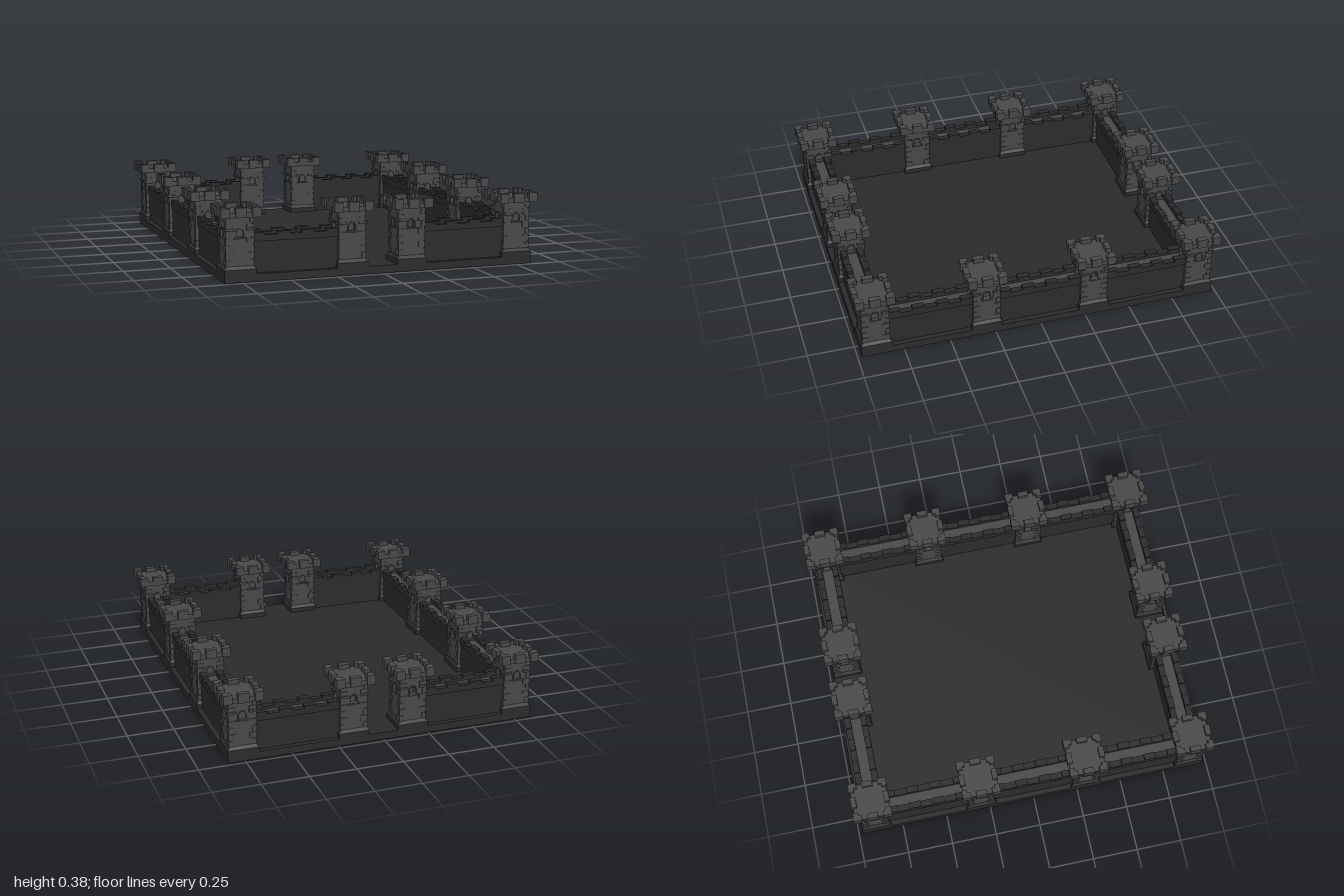
import * as THREE from 'three';

const dark = new THREE.MeshStandardMaterial({ color: 0x2b2b2b, flatShading: true });
const stone = new THREE.MeshStandardMaterial({ color: 0x484848, flatShading: true });

function add(parent, name, geometry, material, x = 0, y = 0, z = 0) {
  const mesh = new THREE.Mesh(geometry, material);
  mesh.name = name;
  mesh.position.set(x, y, z);
  parent.add(mesh);
  return mesh;
}

// Box given by its bottom and top heights
function block(parent, name, material, w, d, y0, y1, x = 0, z = 0) {
  return add(parent, name, new THREE.BoxGeometry(w, y1 - y0, d), material, x, (y0 + y1) / 2, z);
}

// Arched outline, used for the window openings and their frames
function arch(path, half, bottom, spring) {
  path.moveTo(-half, bottom);
  path.lineTo(half, bottom);
  path.lineTo(half, spring);
  path.absarc(0, spring, half, 0, Math.PI, false);
  path.lineTo(-half, bottom);
  return path;
}

const FOOT = 0.08, TOP = 0.335, BODY = 0.07;

// One side of the hollow tower, with an arched window facing +z
function towerSide(open) {
  const side = new THREE.Group();
  side.name = 'towerSide';
  const wall = new THREE.Shape();
  wall.moveTo(-BODY, FOOT);
  wall.lineTo(BODY, FOOT);
  wall.lineTo(BODY, TOP);
  wall.lineTo(-BODY, TOP);
  wall.holes.push(arch(new THREE.Path(), 0.019, 0.228, 0.25));
  const solid = { depth: 0.02, bevelEnabled: false, curveSegments: 8 };
  add(side, 'towerWall', new THREE.ExtrudeGeometry(wall, solid), stone, 0, 0, BODY - 0.02);

  const frame = arch(new THREE.Shape(), 0.025, 0.228, 0.25);
  frame.holes.push(arch(new THREE.Path(), 0.019, 0.228, 0.25));
  add(side, 'windowFrame', new THREE.ExtrudeGeometry(frame, { ...solid, depth: 0.005 }), stone, 0, 0, BODY);
  block(side, 'windowSill', stone, 0.06, 0.012, 0.22, 0.228, 0, BODY + 0.004);
  if (!open) block(side, 'blindWindow', stone, 0.05, 0.008, 0.222, 0.272, 0, BODY - 0.012);

  // Short string course either side of the window
  for (const s of [-1, 1]) {
    block(side, 'stringCourse', stone, 0.04, 0.013, 0.262, 0.274, s * 0.053, BODY + 0.004);
  }
  return side;
}

function tower(openSides) {
  const group = new THREE.Group();
  group.name = 'tower';

  // Plinth with a sloped shoulder
  block(group, 'plinth', dark, 0.166, 0.166, 0.03, 0.066);
  const shoulder = new THREE.CylinderGeometry(BODY * Math.SQRT2, 0.083 * Math.SQRT2, 0.016, 4);
  shoulder.rotateY(Math.PI / 4);
  add(group, 'plinthShoulder', shoulder, dark, 0, 0.074, 0);

  for (let i = 0; i < 4; i++) {
    const side = towerSide(openSides.includes(i));
    side.rotation.y = i * Math.PI / 2;
    group.add(side);
  }

  // Alternating corner stones
  const rows = 7, step = (TOP - FOOT) / rows, out = BODY + 0.004;
  for (let r = 0; r < rows; r++) {
    const w = r % 2 ? 0.038 : 0.022, d = r % 2 ? 0.022 : 0.038;
    for (const sx of [-1, 1]) for (const sz of [-1, 1]) {
      block(group, 'cornerStone', stone, w, d, FOOT + r * step + 0.003, FOOT + (r + 1) * step - 0.003,
        sx * (out - w / 2), sz * (out - d / 2));
    }
  }

  // Crown: platform with projecting merlons
  block(group, 'crownPlatform', stone, 0.195, 0.195, 0.33, 0.355);
  for (const sx of [-1, 0, 1]) for (const sz of [-1, 0, 1]) {
    if (!sx && !sz) continue;
    const w = sx ? (sz ? 0.046 : 0.03) : 0.058;
    const d = sz ? (sx ? 0.046 : 0.03) : 0.058;
    // Corner merlons are L-shaped
    if (sx && sz) {
      block(group, 'crownMerlon', stone, w, 0.03, 0.33, 0.38, sx * (0.105 - w / 2), sz * 0.09);
      block(group, 'crownMerlon', stone, 0.03, d - 0.03, 0.33, 0.38, sx * 0.09, sz * (0.075 - (d - 0.03) / 2));
    } else {
      block(group, 'crownMerlon', stone, w, d, 0.33, 0.38, sx * 0.09, sz * 0.09);
    }
  }
  return group;
}

// Curtain wall running along x, with a walkway between two parapets
function curtainWall(length) {
  const group = new THREE.Group();
  group.name = 'curtainWall';
  block(group, 'wallBody', dark, length, 0.11, 0.03, 0.212);
  block(group, 'walkway', stone, length, 0.056, 0.212, 0.216);
  for (const s of [-1, 1]) {
    block(group, 'parapet', dark, length, 0.034, 0.2, 0.232, 0, s * 0.045);
    const unit = 0.455 / 7;
    for (let i = 0; i < 4; i++) {
      block(group, 'wallMerlon', dark, unit, 0.034, 0.232, 0.246, (i - 1.5) * unit * 2, s * 0.045);
    }
  }
  return group;
}

export function createModel() {
  const model = new THREE.Group();
  model.name = 'fortress';
  block(model, 'baseSlab', dark, 1.68, 1.956, 0, 0.04);

  const X = 0.757, GATE = 0.163, Z = 0.895, MID = 0.298;
  const place = (part, x, z, turn = 0) => {
    part.position.set(x, 0, z);
    part.rotation.y = turn;
    model.add(part);
  };

  for (const sx of [-1, 1]) {
    for (const sz of [-1, 1]) {
      place(tower([]), sx * X, sz * Z);
      // Gate towers, open outward
      place(tower([sz > 0 ? 0 : 2]), sx * GATE, sz * Z);
      // Flank towers; the front pair is open right through
      place(tower(sz > 0 ? [1, 3] : [sx > 0 ? 1 : 3]), sx * X, sz * MID);
      // Front and back walls
      place(curtainWall(X - GATE - 0.13), sx * (X + GATE) / 2, sz * Z);
      // Outer stretches of the side walls
      place(curtainWall(Z - MID - 0.13), sx * X, sz * (Z + MID) / 2, Math.PI / 2);
    }
    place(curtainWall(2 * MID - 0.13), sx * X, 0, Math.PI / 2);
  }
  return model;
}
